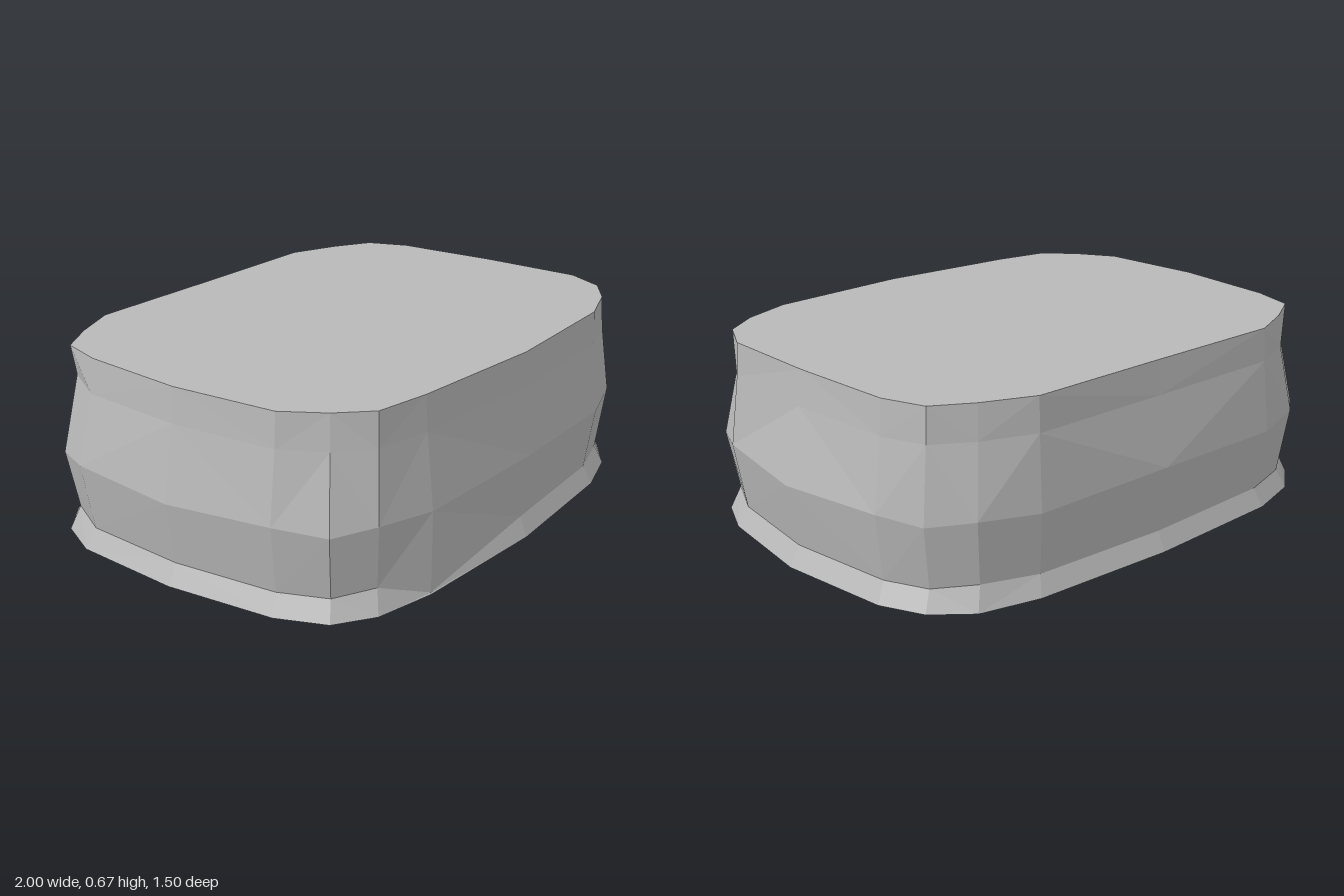
import * as THREE from 'three';

// Plan outlines as [x, z], running from +x round through +z
const girth = [
  [1, 0], [0.95, 0.4], [0.88, 0.56], [0.745, 0.65], [0.54, 0.71],
  [0, 0.745], [-0.54, 0.71], [-0.76, 0.66], [-0.89, 0.57], [-0.96, 0.4],
  [-1, 0], [-0.97, -0.41], [-0.89, -0.57], [-0.76, -0.67], [-0.55, -0.73],
  [0, -0.75], [0.54, -0.72], [0.755, -0.665], [0.88, -0.56], [0.95, -0.41],
];
const rim = [
  [0.918, 0], [0.912, 0.39], [0.84, 0.535], [0.715, 0.62], [0.53, 0.685],
  [0, 0.713], [-0.53, 0.67], [-0.73, 0.635], [-0.83, 0.53], [-0.915, 0.39],
  [-0.94, 0], [-0.9, -0.39], [-0.85, -0.55], [-0.71, -0.63], [-0.54, -0.7],
  [0, -0.695], [0.53, -0.695], [0.71, -0.62], [0.845, -0.54], [0.9, -0.39],
];
const N = girth.length;
const HEIGHT = 0.67;

// Height levels: blend from girth to rim, and overall scale
const levels = [
  { y: 0, blend: 0, scale: 1 },
  { y: 0.07, blend: 0, scale: 0.962 },
  { y: 0.3, blend: 0, scale: 1 },
  { y: 0.55, blend: 0.8, scale: 1 },
  { y: HEIGHT, blend: 1, scale: 1 },
];

function ringPoint(j, i) {
  const { y, blend, scale } = levels[j];
  const k = i % N;
  let s = scale;
  let h = y;
  if (j === 1 && k === 6) { s = 0.995; h = 0.005; }     // worn lower corner
  if (j === 1 && k % 5 === 2) h += 0.012;               // uneven lower ledge
  if (j === 2) h += k % 2 ? 0.008 : -0.008;             // uneven girth
  if (j === 3 && k % 10 === 2) { s = 0.975; h += 0.015; } // chipped corners
  const x = THREE.MathUtils.lerp(girth[k][0], rim[k][0], blend);
  const z = THREE.MathUtils.lerp(girth[k][1], rim[k][1], blend);
  return [x * s, h, z * s];
}

function facets(positions) {
  const geometry = new THREE.BufferGeometry();
  geometry.setAttribute('position', new THREE.Float32BufferAttribute(positions, 3));
  geometry.computeVertexNormals();
  return geometry;
}

// Faceted sides with alternating diagonals
function sideGeometry() {
  const p = [];
  for (let j = 0; j < levels.length - 1; j++) {
    for (let i = 0; i < N; i++) {
      const a = ringPoint(j, i), b = ringPoint(j, i + 1);
      const c = ringPoint(j + 1, i), d = ringPoint(j + 1, i + 1);
      if (i % 2) p.push(...a, ...d, ...b, ...a, ...c, ...d);
      else p.push(...a, ...c, ...b, ...b, ...c, ...d);
    }
  }
  return facets(p);
}

// Flat cap closing one ring
function capGeometry(j, up) {
  const p = [];
  for (let i = 0; i < N; i++) {
    const a = ringPoint(j, i), b = ringPoint(j, i + 1);
    p.push(0, levels[j].y, 0, ...(up ? b : a), ...(up ? a : b));
  }
  return facets(p);
}

export function createModel() {
  const stone = new THREE.MeshStandardMaterial({ color: 0xb8b8b8 });
  stone.name = 'grey stone';
  stone.flatShading = true;

  const group = new THREE.Group();
  group.name = 'stoneSlab';
  const parts = {
    rockSides: sideGeometry(),
    flatTop: capGeometry(levels.length - 1, true),
    flatBase: capGeometry(0, false),
  };
  for (const [name, geometry] of Object.entries(parts)) {
    const mesh = new THREE.Mesh(geometry, stone);
    mesh.name = name;
    group.add(mesh);
  }
  return group;
}
